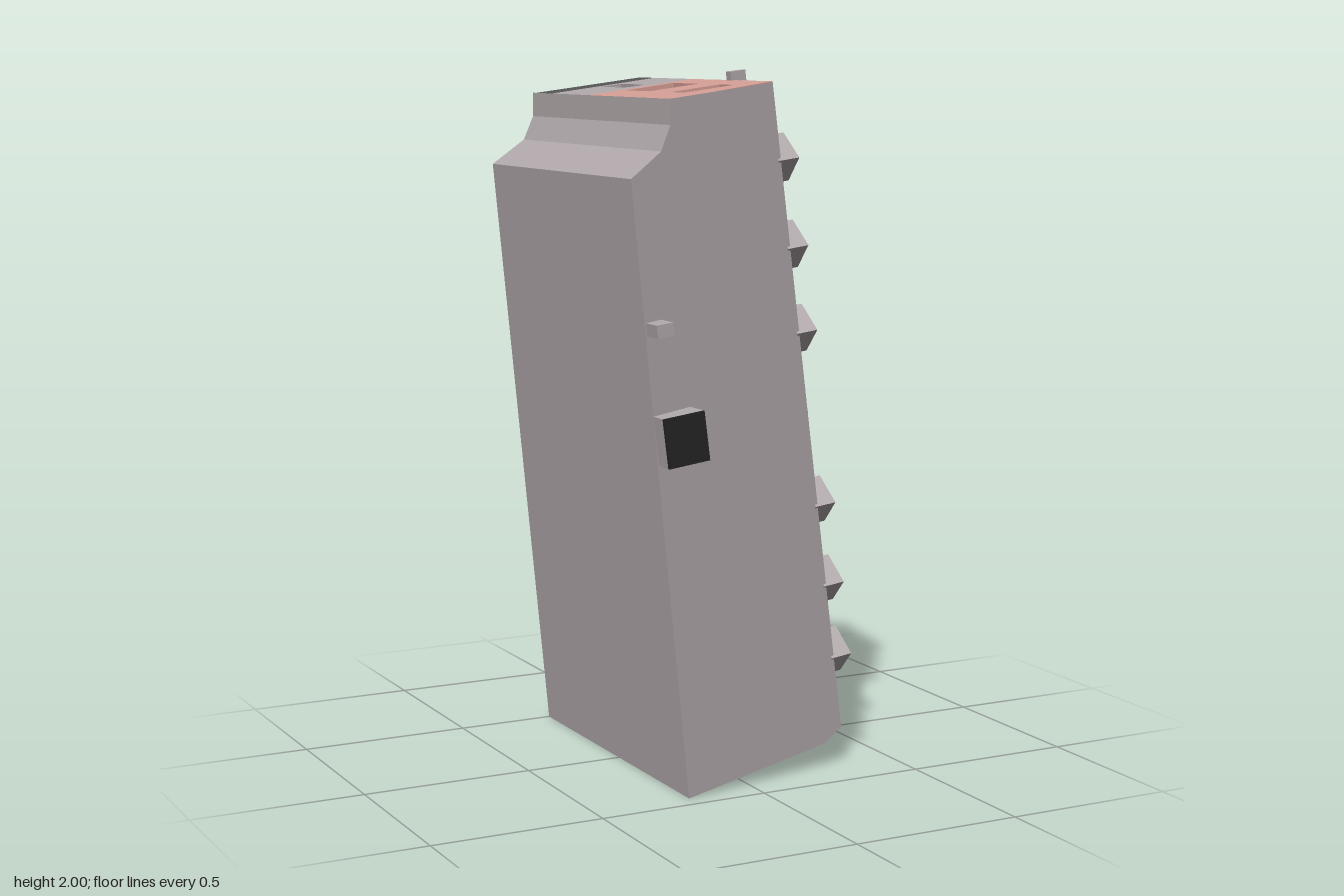
import * as THREE from 'three';

const mat = (name, color) => {
  const m = new THREE.MeshStandardMaterial({ color, side: THREE.DoubleSide });
  m.name = name;
  return m;
};

// Local frame: x = out of the facade, y = along the building, z = building height.
const V = (x, y, z) => new THREE.Vector3(x, y, z);
const FACADE = new THREE.Matrix4().makeBasis(V(0, 1, 0), V(0, 0, 1), V(1, 0, 0)); // draw in (y, z), push along x
const END = new THREE.Matrix4().makeBasis(V(0, 0, 1), V(1, 0, 0), V(0, 1, 0));    // draw in (z, x), push along y
const TILT = 0.1283, LENGTH = 1.875, DEPTH = 0.352;
const along = (worldY) => (worldY - 0.11) / Math.cos(TILT);
const roofZ = (x) => 0.348 - 0.18 * x;
const baseZ = (x) => -0.48 + 0.035 * x;

const poly = (pts) => new THREE.Shape(pts.map(([a, b]) => new THREE.Vector2(a, b)));
const rect = (a0, a1, b0, b1) => poly([[a0, b0], [a1, b0], [a1, b1], [a0, b1]]);

export function createModel() {
  const grey = mat('wall grey', 0xb0a8aa);
  const pink = mat('plaster pink', 0xd59f95);
  const dark = mat('plinth dark', 0x545454);
  const blue = mat('glass blue', 0x7f9aa8);
  const black = mat('chimney black', 0x242424);

  const model = new THREE.Group();
  model.name = 'building';
  const body = new THREE.Group();
  body.name = 'tiltedBuilding';
  body.position.set(0.34, 0.11, 0);
  body.rotation.z = TILT;
  model.add(body);

  const add = (name, geo, material) => {
    const mesh = new THREE.Mesh(geo, material);
    mesh.name = name;
    body.add(mesh);
    return mesh;
  };
  // Extrude a shape between two offsets along the normal of the given plane
  const slab = (name, shape, basis, from, to, material, holes = []) => {
    shape.holes.push(...holes);
    const geo = new THREE.ExtrudeGeometry(shape, { depth: to - from, bevelEnabled: false, curveSegments: 8 });
    geo.translate(0, 0, from).applyMatrix4(basis);
    return add(name, geo, material);
  };
  const pane = (name, shape, basis, offset, material) => {
    const geo = new THREE.ShapeGeometry(shape, 8);
    geo.translate(0, 0, offset).applyMatrix4(basis);
    return add(name, geo, material);
  };
  const box = (name, x0, x1, y0, y1, z0, z1, material) => {
    const geo = new THREE.BoxGeometry(x1 - x0, y1 - y0, z1 - z0);
    geo.translate((x0 + x1) / 2, (y0 + y1) / 2, (z0 + z1) / 2);
    return add(name, geo, material);
  };

  // Plain outer walls and the gently sloping roof
  const plan = [[0, LENGTH], [-DEPTH, 1.88], [-0.361, 1.811], [-0.4, 1.746],
    [-0.508, 1.689], [-0.56, -0.039], [-0.065, -0.032], [0, 0]];
  for (let i = 1; i < plan.length - 1; i++) {
    const [px, py] = plan[i], [qx, qy] = plan[i + 1];
    const geo = new THREE.BufferGeometry();
    geo.setAttribute('position', new THREE.Float32BufferAttribute([
      px, py, baseZ(px), qx, qy, baseZ(qx), qx, qy, roofZ(qx), px, py, roofZ(px)], 3));
    geo.setIndex([0, 1, 2, 0, 2, 3]);
    geo.computeVertexNormals();
    add('outerWall', geo, grey);
  }
  const roof = new THREE.ShapeGeometry(poly(plan));
  const pos = roof.attributes.position;
  for (let i = 0; i < pos.count; i++) pos.setZ(i, roofZ(pos.getX(i)));
  roof.computeVertexNormals();
  add('roof', roof, grey);

  // Facade: plinth, grey ground floor and pink upper floor with deep windows
  const rows = [[1.79, 1.87], [1.62, 1.73], [1.48, 1.55], [1.305, 1.375], [1.12, 1.235], [0.987, 1.06],
    [0.81, 0.886], [0.636, 0.743], [0.493, 0.567], [0.318, 0.392], [0.143, 0.217]]
    .map((r) => r.map(along));
  const DOOR = 5;
  const upper = rows.map(([a, b]) => rect(a, b, -0.083, 0.06));
  const lower = rows.map(([a, b], i) => rect(a, b, i === DOOR ? -0.378 : -0.305, -0.167));
  slab('plinth', rect(0, LENGTH, -0.48, -0.38), FACADE, -0.02, 0, dark);
  slab('groundFloorWall', rect(0, LENGTH, -0.38, -0.11), FACADE, -0.02, 0, grey, lower);
  slab('upperFloorWall', rect(0, LENGTH, -0.11, 0.11), FACADE, -0.02, 0, [pink, grey], upper);
  rows.forEach(([a, b], i) => {
    pane('upperWindow', rect(a, b, -0.083, 0.06), FACADE, -0.018, blue);
    if (i === DOOR) {
      pane('doorTop', rect(a, b, -0.247, -0.167), FACADE, -0.018, dark);
      pane('door', rect(a, b, -0.38, -0.247), FACADE, -0.012, blue);
      return;
    }
    // Ground floor glass behind a dark grille
    pane('lowerWindow', rect(a, b, -0.305, -0.167), FACADE, -0.018, blue);
    for (let k = 0; k < 6; k++) {
      const z = -0.305 + k * 0.023;
      box('grilleBar', -0.016, -0.011, a, b, z, z + 0.018, dark);
    }
    for (let k = 0; k < 3; k++) {
      const y = a + (b - a) * (0.1 + k * 0.36);
      box('grilleBar', -0.016, -0.011, y, y + 0.008, -0.305, -0.167, dark);
    }
  });
  box('stringCourse', 0, 0.008, 0, LENGTH, -0.125, -0.11, grey);

  // Entrance steps and plinth hoods
  for (let i = 0; i < 3; i++) {
    box('step', 0, 0.015 + i * 0.012, along(0.95), along(1.09), -0.395 - (i + 1) * 0.016, -0.395 - i * 0.016, dark);
  }
  box('plinthHood', 0, 0.012, along(1.64), along(1.72), -0.38, -0.34, dark);
  box('plinthHood', 0, 0.012, along(1.49), along(1.55), -0.38, -0.355, dark);

  // Top end wall with two windows and an arched door
  const endWindow = (z0, z1) => rect(z0, z1, -0.237, -0.082);
  const arch = () => {
    const s = new THREE.Shape();
    s.moveTo(-0.35, -0.192);
    s.lineTo(-0.215, -0.192);
    s.quadraticCurveTo(-0.185, -0.192, -0.185, -0.16);
    s.quadraticCurveTo(-0.185, -0.128, -0.215, -0.128);
    s.lineTo(-0.35, -0.128);
    s.closePath();
    return s;
  };
  const Y0 = LENGTH - 0.02, Y1 = LENGTH + 0.003;
  slab('endPlinth', poly([[baseZ(-DEPTH), -DEPTH], [-0.38, -DEPTH], [-0.38, 0], [baseZ(0), 0]]), END, Y0, Y1, dark);
  slab('endGroundWall', rect(-0.38, -0.13, -DEPTH, 0), END, Y0, Y1, grey, [arch()]);
  slab('endUpperWall', poly([[-0.13, -DEPTH], [roofZ(-DEPTH), -DEPTH], [roofZ(0), 0], [-0.13, 0]]),
    END, Y0, Y1, pink, [endWindow(-0.095, 0.06), endWindow(0.19, 0.275)]);
  pane('endWindow', endWindow(-0.095, 0.06), END, Y0 + 0.002, blue);
  pane('endWindowShade', rect(-0.095, 0.06, -0.237, -0.205), END, Y0 + 0.004, dark);
  pane('endWindow', endWindow(0.19, 0.275), END, Y0 + 0.002, blue);
  pane('endDoor', arch(), END, Y0 + 0.002, black);

  // Steep roof face above the cornice
  slab('steepRoof', poly([[0.11, 0], [0.11, 0.03], [0.348, 0]]), END, 0, LENGTH, grey);
  slab('cornice', poly([[0.1, -0.01], [0.1, 0.022], [0.112, 0.038], [0.128, 0.038], [0.128, -0.01]]),
    END, 0, 1.903, grey);

  // Pediment over the entrance
  const mid = along(1.025);
  const triangle = (half, low, high) => poly([[mid - half, low], [mid + half, low], [mid, high]]);
  slab('pedimentFrame', triangle(0.365, 0.115, 0.268), FACADE, 0, 0.045, grey, [triangle(0.305, 0.117, 0.243)]);
  pane('pedimentWall', triangle(0.325, 0.117, 0.25), FACADE, 0.032, pink);
  box('pedimentWindow', 0.03, 0.036, along(0.94), along(1.06), 0.135, 0.2, blue);

  // Dormers
  for (const wy of [1.755, 1.51, 1.27, 0.77, 0.535, 0.32]) {
    const y = along(wy);
    slab('dormer', poly([[y - 0.045, 0.19], [y + 0.045, 0.19], [y + 0.045, 0.29], [y, 0.34], [y - 0.045, 0.29]]),
      FACADE, 0, 0.036, grey);
    slab('dormerRoof', poly([[y - 0.068, 0.28], [y - 0.058, 0.28], [y, 0.342], [y + 0.058, 0.28],
      [y + 0.068, 0.28], [y, 0.355]]), FACADE, -0.01, 0.055, grey);
    box('dormerWindow', 0.034, 0.039, y - 0.038, y + 0.038, 0.2, 0.28, blue);
  }

  // Chimneys
  box('largeChimney', -0.527, -0.402, 0.908, 1.046, 0.415, 0.497, grey);
  box('largeChimneyCap', -0.527, -0.402, 0.908, 1.046, 0.497, 0.504, black);
  box('smallChimney', -0.515, -0.465, 1.265, 1.301, 0.42, 0.505, grey);

  return model;
}
